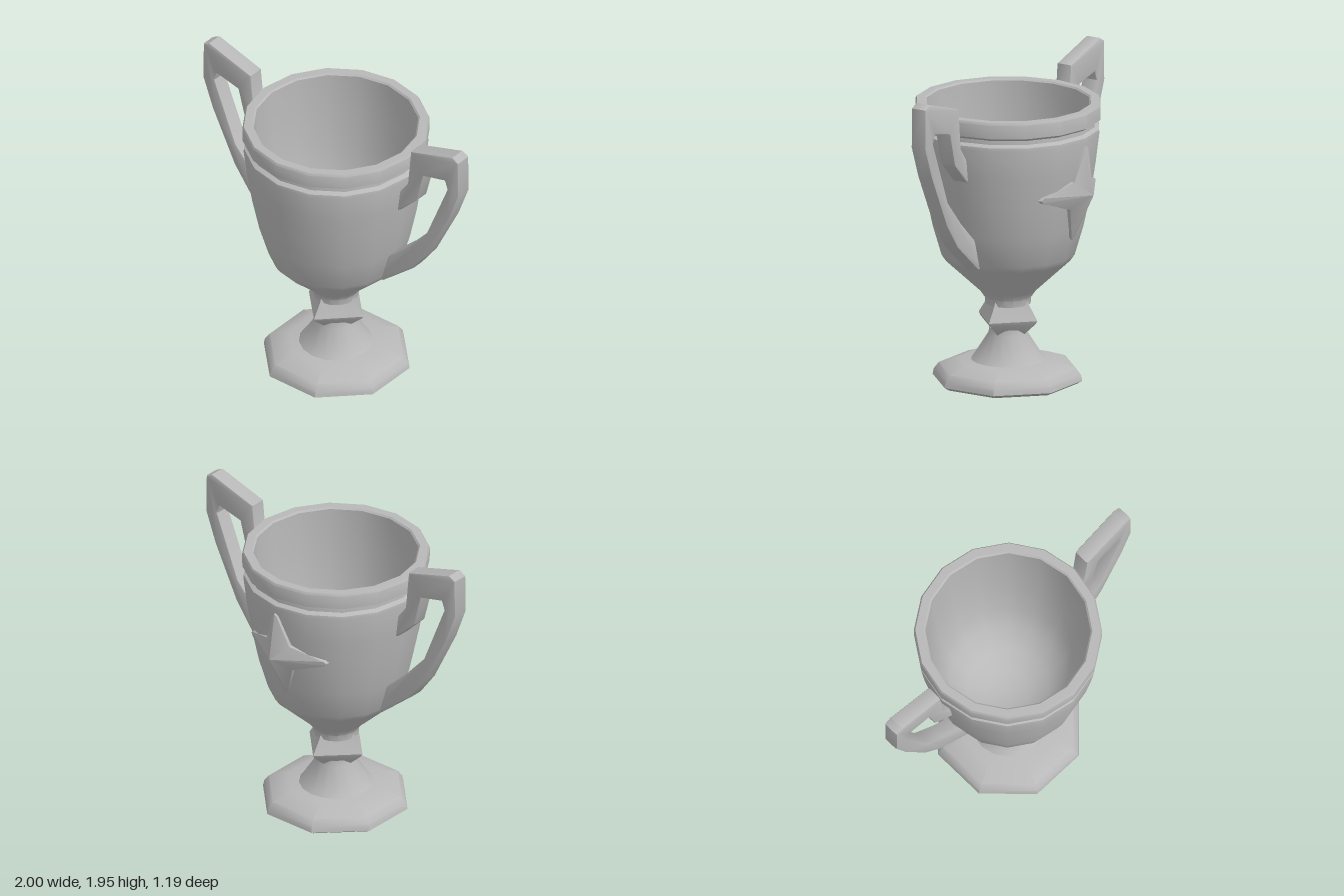
import * as THREE from 'three';
import { toCreasedNormals } from 'three/addons/utils/BufferGeometryUtils.js';

const CENTRE_Z = 0.022;

// Outer wall of the bowl as [radius, height], bottom to top
const WALL = [
  [0, 0.49], [0.14, 0.49], [0.143, 0.53], [0.17, 0.57], [0.385, 0.77], [0.412, 0.81],
  [0.468, 1.0], [0.51, 1.2], [0.542, 1.4], [0.564, 1.58], [0.562, 1.6], [0.536, 1.615],
  [0.534, 1.64], [0.57, 1.66], [0.572, 1.745], [0.563, 1.76],
];
const INSIDE = [
  [0.512, 1.76], [0.502, 1.75], [0.49, 1.5], [0.465, 1.25], [0.42, 1.0],
  [0.36, 0.85], [0.25, 0.73], [0.13, 0.68], [0, 0.665],
];

function wallRadius(y) {
  for (let i = 1; i < WALL.length; i++) {
    const [r0, y0] = WALL[i - 1], [r1, y1] = WALL[i];
    if (y <= y1 && y1 > y0) return r0 + (r1 - r0) * (y - y0) / (y1 - y0);
  }
  return WALL[WALL.length - 1][0];
}

function turned(profile, sides, start, crease) {
  const pts = profile.map(([r, y]) => new THREE.Vector2(r, y));
  return toCreasedNormals(new THREE.LatheGeometry(pts, sides, start), crease);
}

// Flat angular strap running from the upper wall, out, and back to the lower wall
function handleGeometry() {
  const outline = [
    [0.51, 1.48], [0.555, 1.53], [0.6, 1.59], [0.625, 1.845], [0.95, 1.945], [0.997, 1.92],
    [1.0, 1.675], [0.925, 1.475], [0.755, 1.135], [0.64, 0.98], [0.405, 0.785], [0.36, 0.8],
    [0.43, 0.97], [0.48, 1.015], [0.6, 1.125], [0.745, 1.285], [0.91, 1.69], [0.89, 1.745],
    [0.725, 1.705], [0.67, 1.5], [0.54, 1.37], [0.505, 1.35],
  ].map(([x, y]) => new THREE.Vector2(x, y));
  const bevel = 0.012, width = 0.106;
  const geo = new THREE.ExtrudeGeometry(new THREE.Shape(outline), {
    depth: width - 2 * bevel, bevelEnabled: true, bevelSize: bevel,
    bevelThickness: bevel, bevelOffset: -bevel, bevelSegments: 2,
  });
  geo.translate(0, 0, bevel - width / 2);
  return toCreasedNormals(geo, 0.6);
}

// Four-pointed star wrapped on the back wall, with blunt tips and a raised middle
function starGeometry() {
  const cy = 1.25, rim = [];
  for (let k = 0; k < 4; k++) {
    const a = k * Math.PI / 2;
    for (const [r, d] of [[0.285, -0.06], [0.3, 0], [0.285, 0.06], [0.125, Math.PI / 4]]) {
      rim.push([r * Math.cos(a + d), cy + r * Math.sin(a + d)]);
    }
  }
  const onWall = ([x, y], lift) => [x, y, -Math.sqrt(wallRadius(y) ** 2 - x * x) - lift];
  const peak = [0, cy, -0.62];
  const pos = [];
  rim.forEach((p, i) => {
    const q = rim[(i + 1) % rim.length];
    const a = onWall(p, 0.014), b = onWall(q, 0.014);
    const c = onWall(q, -0.03), d = onWall(p, -0.03);
    pos.push(...peak, ...b, ...a, ...a, ...b, ...c, ...a, ...c, ...d);
  });
  const geo = new THREE.BufferGeometry();
  geo.setAttribute('position', new THREE.Float32BufferAttribute(pos, 3));
  return toCreasedNormals(geo, 0.5);
}

export function createModel() {
  const silver = new THREE.MeshStandardMaterial({ color: 0xb8b8b8 });
  silver.name = 'silver';
  const model = new THREE.Group();
  model.name = 'trophyCup';

  const add = (name, geometry) => {
    const mesh = new THREE.Mesh(geometry, silver);
    mesh.name = name;
    mesh.position.z = CENTRE_Z;
    model.add(mesh);
    return mesh;
  };

  // Octagonal foot, flats facing the axes
  const foot = add('foot', turned([
    [0, 0], [0.43, 0], [0.462, 0.02], [0.455, 0.055], [0.425, 0.095], [0.3, 0.138], [0, 0.142],
  ], 8, Math.PI / 8, 0.7));
  foot.position.x = 0.006;

  // Flared stem
  add('stem', turned([
    [0.235, 0.13], [0.215, 0.15], [0.12, 0.3], [0.115, 0.34],
  ], 16, 0, 0.9));

  // Four-sided knob, corners on the axes
  add('knob', turned([
    [0, 0.305], [0.118, 0.305], [0.2, 0.38], [0.212, 0.4], [0.2, 0.42], [0.155, 0.49], [0.145, 0.515], [0, 0.515],
  ], 4, 0, 0.6));

  // Bowl with grooved rim and hollow inside
  add('bowl', turned([...WALL, ...INSIDE], 16, 0, 0.6));

  // Handles
  const strap = handleGeometry();
  add('leftHandle', strap);
  add('rightHandle', strap).rotation.y = Math.PI;

  add('star', starGeometry());
  return model;
}
